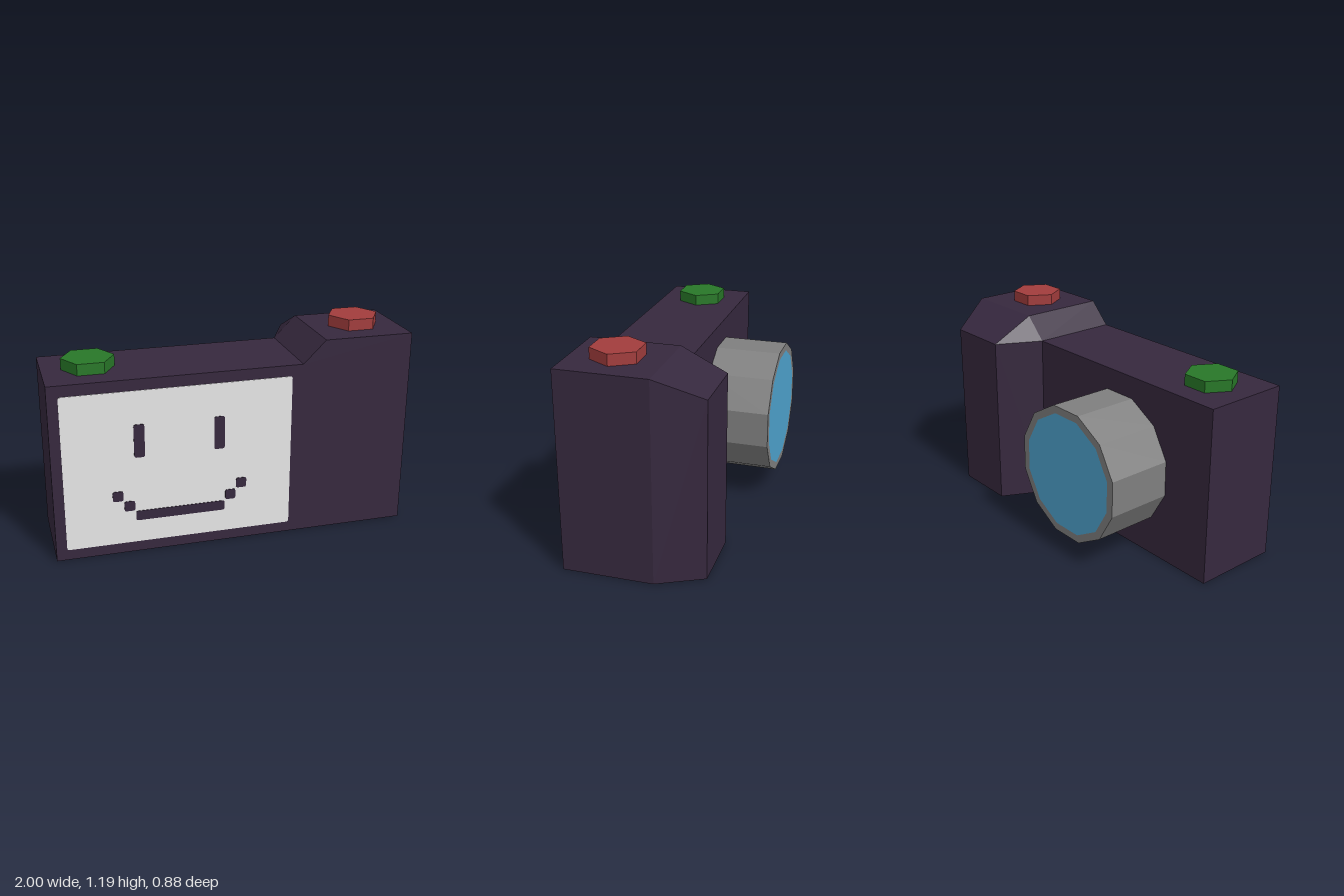
import * as THREE from 'three';
import { ConvexGeometry } from 'three/addons/geometries/ConvexGeometry.js';

const FRONT = 0.4375, BACK = -0.0625, GRIP_BACK = -0.3125, LENS_BACK = -0.4375;

const material = (name, color) => {
  const m = new THREE.MeshStandardMaterial({ color });
  m.name = name;
  return m;
};

// faceted normals for low-poly parts
function faceted(geometry) {
  const g = geometry.index ? geometry.toNonIndexed() : geometry;
  g.computeVertexNormals();
  return g;
}

// thin plate with slightly rounded corners, its back at z = 0
function plate(x0, y0, x1, y1, r, depth) {
  const s = new THREE.Shape();
  s.moveTo(x0 + r, y0);
  s.lineTo(x1 - r, y0).quadraticCurveTo(x1, y0, x1, y0 + r);
  s.lineTo(x1, y1 - r).quadraticCurveTo(x1, y1, x1 - r, y1);
  s.lineTo(x0 + r, y1).quadraticCurveTo(x0, y1, x0, y1 - r);
  s.lineTo(x0, y0 + r).quadraticCurveTo(x0, y0, x0 + r, y0);
  return new THREE.ExtrudeGeometry(s, { depth, bevelEnabled: false, curveSegments: 3 });
}

export function createModel() {
  const group = new THREE.Group();
  group.name = 'camera';
  const casing = material('dark purple casing', 0x36283e);
  const screenGrey = material('pale screen', 0xebebeb);
  const lensGrey = material('grey lens barrel', 0x7f7f7f);
  const glass = material('blue glass', 0x4fa4d0);
  const red = material('red button', 0xa23d3d);
  const green = material('green button', 0x287828);

  const add = (name, geometry, mat, x = 0, y = 0, z = 0) => {
    const mesh = new THREE.Mesh(geometry, mat);
    mesh.name = name;
    mesh.position.set(x, y, z);
    group.add(mesh);
  };

  // body: front outline with the raised shoulder
  const outline = [[-1, 0], [1, 0], [1, 1.125], [0.5, 1.125], [0.375, 1], [-1, 1]];
  const shape = new THREE.Shape(outline.map(([x, y]) => new THREE.Vector2(x, y)));
  add('body', new THREE.ExtrudeGeometry(shape, { depth: FRONT - BACK, bevelEnabled: false }), casing, 0, 0, BACK);

  // grip: tapers from the shoulder outline to a smaller rectangle
  const gripPoints = [
    ...[[0.375, 0], [1, 0], [1, 1.125], [0.5, 1.125], [0.375, 1]].map(([x, y]) => new THREE.Vector3(x, y, BACK)),
    ...[[0.5, 0], [0.875, 0], [0.875, 1], [0.5, 1]].map(([x, y]) => new THREE.Vector3(x, y, GRIP_BACK)),
  ];
  add('grip', new ConvexGeometry(gripPoints), casing);

  // lens: twelve-sided barrel, flat rim and glass
  const apothem = 0.375, outer = apothem / Math.cos(Math.PI / 12), inner = outer * 0.885;
  const turn = Math.PI / 12, length = BACK - LENS_BACK;
  const barrel = new THREE.CylinderGeometry(outer, outer, length, 12, 1, true, turn).rotateX(-Math.PI / 2);
  add('lensBarrel', faceted(barrel), lensGrey, -0.3125, 0.5, (BACK + LENS_BACK) / 2);
  add('lensRim', new THREE.RingGeometry(inner, outer, 12, 1, turn).rotateY(Math.PI), lensGrey, -0.3125, 0.5, LENS_BACK);
  add('lensGlass', new THREE.CircleGeometry(inner, 12, turn).rotateY(Math.PI), glass, -0.3125, 0.5, LENS_BACK);

  // hexagonal buttons
  const button = faceted(new THREE.CylinderGeometry(0.144, 0.144, 0.0625, 6).rotateY(Math.PI / 2));
  add('powerButton', button, green, -0.75, 1.03125, 0.1875);
  add('shutterButton', button, red, 0.75, 1.15625, 0.1875);

  // screen
  add('screen', plate(-0.942, 0.06, 0.314, 0.938, 0.014, 0.003), screenGrey, 0, 0, FRONT);

  // smiling face, mirrored about its centre line
  const faceX = -0.3125;
  const stroke = (name, x0, y0, x1, y1) =>
    add(name, plate(x0, y0, x1, y1, 0.012, 0.003), casing, faceX, 0, FRONT + 0.003);
  stroke('mouth', -0.248, 0.19, 0.248, 0.246);
  for (const side of [-1, 1]) {
    const mirrored = (name, cx, cy, w, h) =>
      stroke(name, side * cx - w / 2, cy - h / 2, side * cx + w / 2, cy + h / 2);
    mirrored('eye', 0.219, 0.656, 0.058, 0.188);
    mirrored('mouthCornerLow', 0.281, 0.281, 0.058, 0.058);
    mirrored('mouthCornerHigh', 0.343, 0.345, 0.058, 0.058);
  }
  return group;
}
